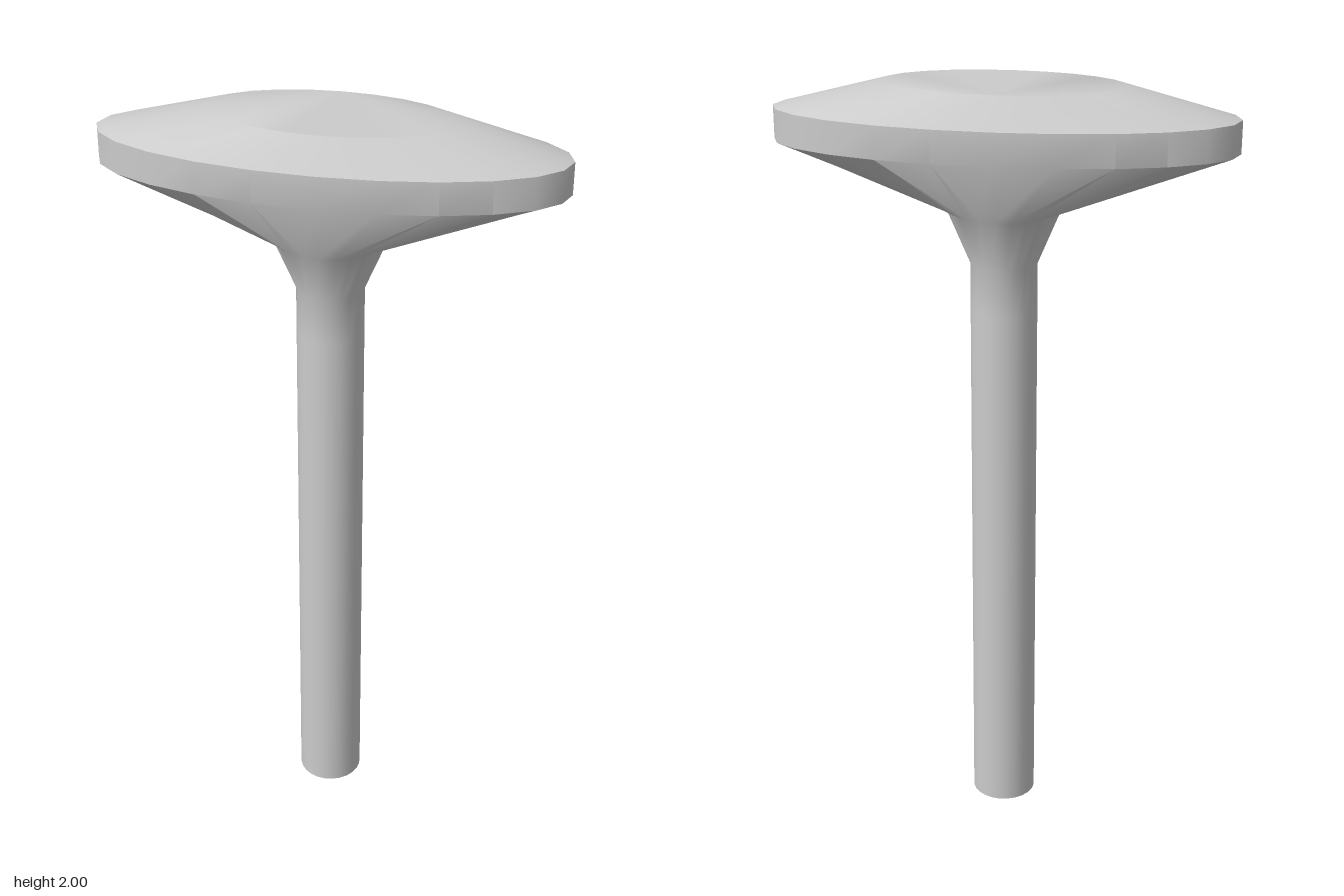
import * as THREE from 'three';
import { toCreasedNormals } from 'three/addons/utils/BufferGeometryUtils.js';

const SIDES = 24;
const BACK = 18; // index of the rearmost corner, where the cap fans start

// Skins a stack of elliptical rings [y, radiusX, radiusZ], listed bottom to top
function loft(rings) {
  const positions = [];
  const index = [];
  for (const [y, rx, rz] of rings) {
    for (let i = 0; i < SIDES; i++) {
      const a = (i / SIDES) * Math.PI * 2;
      positions.push(rx * Math.cos(a), y, rz * Math.sin(a));
    }
  }
  // side walls
  for (let r = 0; r < rings.length - 1; r++) {
    for (let i = 0; i < SIDES; i++) {
      const a = r * SIDES + i;
      const b = r * SIDES + ((i + 1) % SIDES);
      index.push(a, a + SIDES, b, b, a + SIDES, b + SIDES);
    }
  }
  // flat caps
  const top = (rings.length - 1) * SIDES;
  for (let k = 1; k < SIDES - 1; k++) {
    const i = (BACK + k) % SIDES;
    const j = (BACK + k + 1) % SIDES;
    index.push(BACK, i, j);
    index.push(top + BACK, top + j, top + i);
  }
  const geometry = new THREE.BufferGeometry();
  geometry.setAttribute('position', new THREE.Float32BufferAttribute(positions, 3));
  geometry.setIndex(index);
  return toCreasedNormals(geometry, THREE.MathUtils.degToRad(35));
}

export function createModel() {
  const group = new THREE.Group();
  const material = new THREE.MeshStandardMaterial({ color: 0xcccccc });

  // Round stem flaring without a break into a wide oval head
  const stemAndHead = new THREE.Mesh(loft([
    [0, 0.085, 0.085],     // foot
    [1.43, 0.085, 0.085],
    [1.55, 0.085, 0.085],  // start of the neck
    [1.69, 0.143, 0.143],  // neck meets the head
    [1.845, 0.575, 0.203], // lower rim
    [1.928, 0.575, 0.203], // upper rim
    [2, 0.3, 0.138],       // flat crown
  ]), material);
  stemAndHead.name = 'stemAndHead';
  group.add(stemAndHead);

  return group;
}
